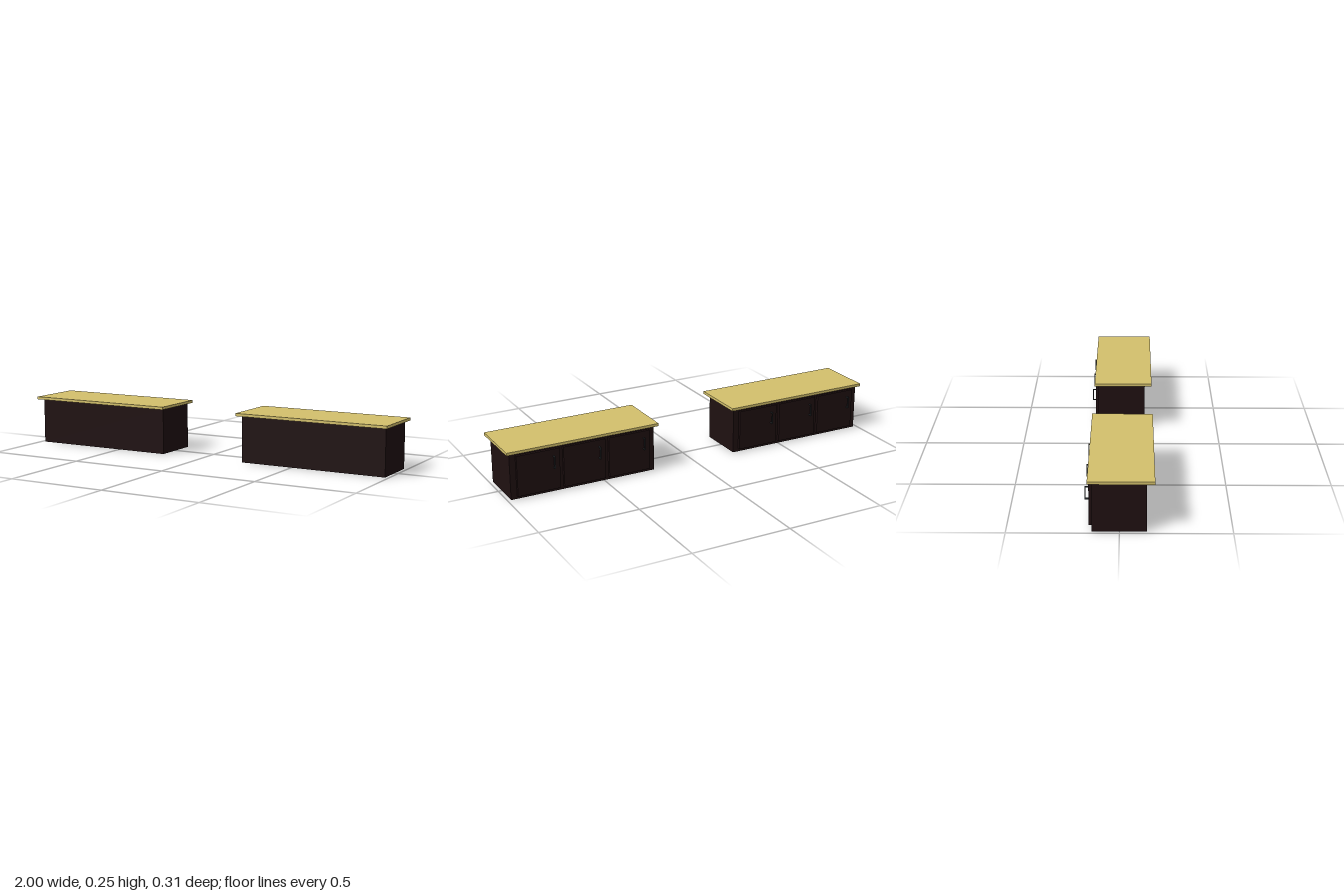
import * as THREE from 'three';

const wood = new THREE.MeshStandardMaterial({ color: 0xd3c06c });
const dark = new THREE.MeshStandardMaterial({ color: 0x1f1011 });
const metal = new THREE.MeshStandardMaterial({ color: 0x2b3033 });

// Box given by its minimum and maximum corners
function box(name, material, min, max) {
  const size = max.map((v, i) => v - min[i]);
  const mesh = new THREE.Mesh(new THREE.BoxGeometry(...size), material);
  mesh.position.set(...max.map((v, i) => (v + min[i]) / 2));
  mesh.name = name;
  return mesh;
}

// Square-section pull handle: two posts and a grip
function createHandle(x) {
  const handle = new THREE.Group();
  handle.name = 'handle';
  const w = 0.003;
  handle.add(
    box('handlePostLower', metal, [x - w, 0.127, -0.149], [x + w, 0.132, -0.136]),
    box('handlePostUpper', metal, [x - w, 0.183, -0.149], [x + w, 0.188, -0.136]),
    box('handleGrip', metal, [x - w, 0.127, -0.153], [x + w, 0.188, -0.149])
  );
  return handle;
}

function createCounter(name, x) {
  const counter = new THREE.Group();
  counter.name = name;
  counter.position.x = x;
  counter.add(
    box('cabinetBody', dark, [-0.377, 0, -0.122], [0.377, 0.234, 0.12]),
    box('countertop', wood, [-0.395, 0.234, -0.141], [0.395, 0.248, 0.155])
  );
  // Three doors on the rear, each with its handle near the -x edge
  for (let i = -1; i <= 1; i++) {
    const c = i * 0.2375;
    counter.add(
      box('door', dark, [c - 0.109, 0.016, -0.136], [c + 0.109, 0.221, -0.122]),
      createHandle(c - 0.0765)
    );
  }
  return counter;
}

export function createModel() {
  const model = new THREE.Group();
  model.name = 'counters';
  model.add(createCounter('rightCounter', -0.605), createCounter('leftCounter', 0.605));
  return model;
}
